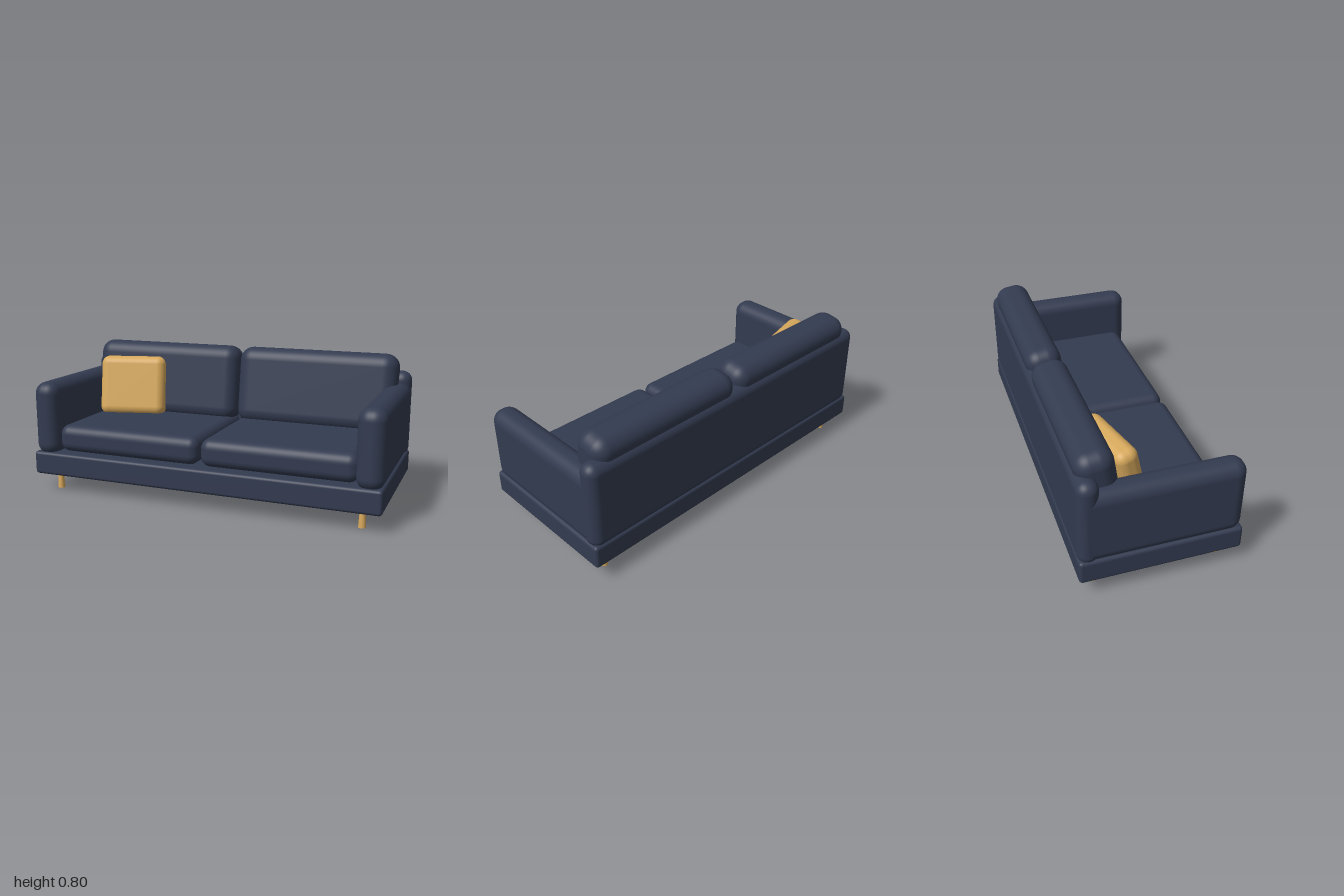
import * as THREE from 'three';
import { RoundedBoxGeometry } from 'three/addons/geometries/RoundedBoxGeometry.js';

export function createModel() {
  const sofa = new THREE.Group();
  sofa.name = 'sofa';
  const fabric = new THREE.MeshStandardMaterial({ color: 0x333b50 });
  fabric.name = 'navy fabric';
  const gold = new THREE.MeshStandardMaterial({ color: 0xd6a85c });
  gold.name = 'golden ochre';

  // Rounded, upholstered block given by size, corner radius and centre
  function block(name, material, [w, h, d], radius, [x, y, z]) {
    const mesh = new THREE.Mesh(new RoundedBoxGeometry(w, h, d, 6, radius), material);
    mesh.name = name;
    mesh.position.set(x, y, z);
    sofa.add(mesh);
    return mesh;
  }

  // Frame: base plinth and back rest
  block('base', fabric, [2, 0.132, 0.854], 0.018, [0, 0.164, 0]);
  block('backRest', fabric, [2, 0.49, 0.112], 0.054, [0, 0.45, -0.371]);

  // Mirrored arms, cushions and legs
  for (const side of [-1, 1]) {
    const label = side > 0 ? 'left' : 'right';
    block(label + 'Arm', fabric, [0.146, 0.42, 0.854], 0.066, [side * 0.927, 0.42, 0]);
    block(label + 'SeatCushion', fabric, [0.86, 0.155, 0.72], 0.055, [side * 0.436, 0.306, 0.02]);

    // Back cushion leans against the back rest
    const cushion = block(label + 'BackCushion', fabric, [0.93, 0.45, 0.2], 0.078,
      [side * 0.47, 0.571, -0.2925]);
    cushion.rotation.x = -0.15;

    // Tapered round legs
    for (const end of [-1, 1]) {
      const leg = new THREE.Mesh(new THREE.CylinderGeometry(0.014, 0.02, 0.105, 20), gold);
      leg.name = label + (end > 0 ? 'FrontLeg' : 'BackLeg');
      leg.position.set(side * 0.888, 0.0525, end * 0.333);
      sofa.add(leg);
    }
  }

  // Loose throw pillow, turned inward and leaning back
  const pillow = block('throwPillow', gold, [0.4, 0.36, 0.125], 0.05, [-0.65, 0.54, -0.15]);
  pillow.rotation.set(-0.22, 0.25, 0, 'YXZ');

  return sofa;
}
